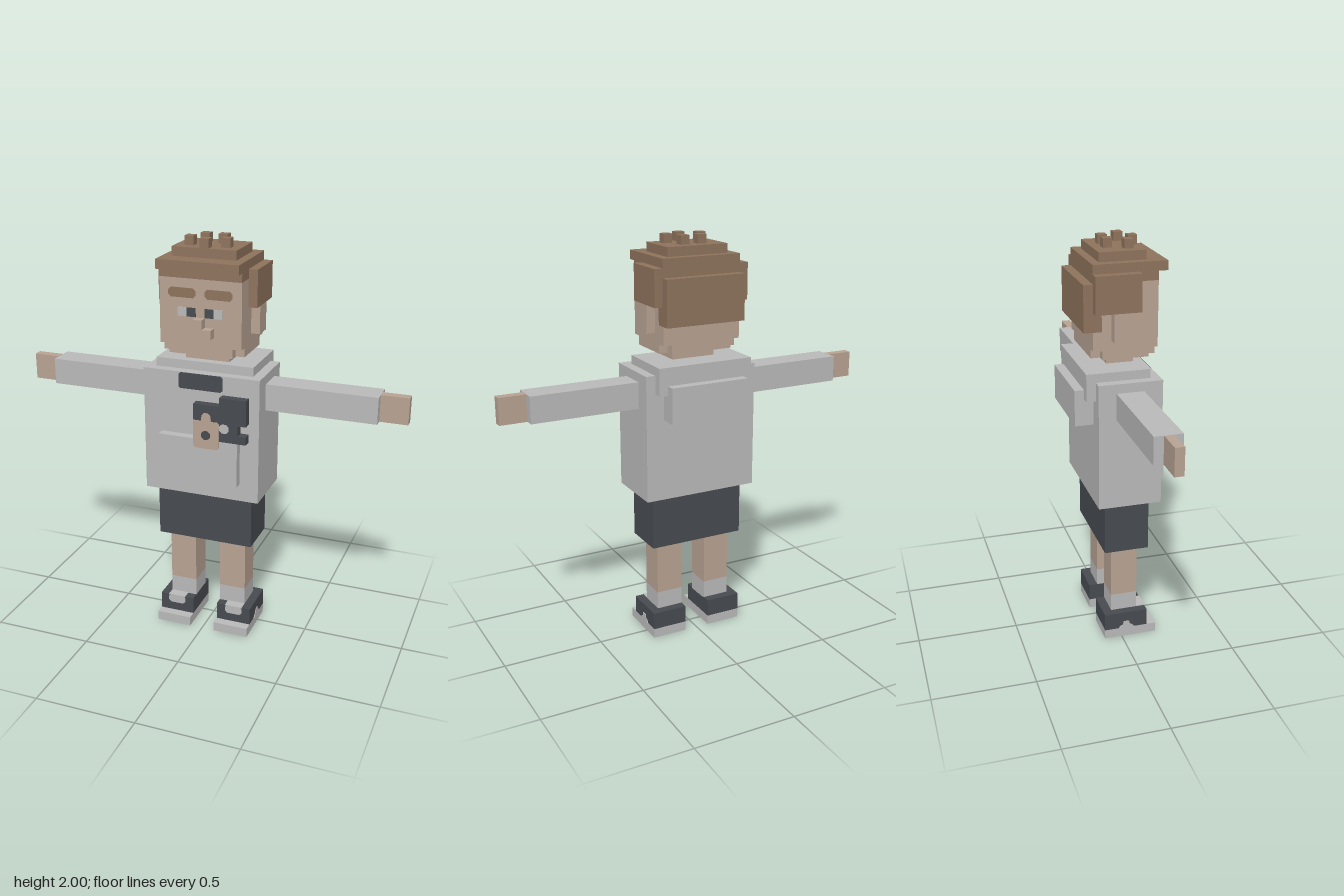
import * as THREE from 'three';

const mat = (name, color) => {
  const m = new THREE.MeshStandardMaterial({ color });
  m.name = name;
  return m;
};

export function createModel() {
  const skin = mat('skin', 0xb8a393);
  const grey = mat('light grey', 0xbababa);
  const dark = mat('charcoal', 0x474b50);
  const brown = mat('hair brown', 0x8e735c);
  const model = new THREE.Group();

  // Box given by its lower and upper corners
  const box = (name, m, x0, x1, y0, y1, z0, z1) => {
    const mesh = new THREE.Mesh(new THREE.BoxGeometry(x1 - x0, y1 - y0, z1 - z0), m);
    mesh.position.set((x0 + x1) / 2, (y0 + y1) / 2, (z0 + z1) / 2);
    mesh.name = name;
    model.add(mesh);
    return mesh;
  };
  // Outline in x/y, extruded forward from z
  const plate = (name, m, pts, z, depth = 0.005) => {
    const shape = new THREE.Shape(pts.map(([x, y]) => new THREE.Vector2(x, y)));
    const mesh = new THREE.Mesh(new THREE.ExtrudeGeometry(shape, { depth, bevelEnabled: false }), m);
    mesh.position.z = z;
    mesh.name = name;
    model.add(mesh);
    return mesh;
  };
  // Rectangle outline with clipped corners
  const clipped = (x0, x1, y0, y1, c) => [
    [x0 + c, y0], [x1 - c, y0], [x1, y0 + c], [x1, y1 - c],
    [x1 - c, y1], [x0 + c, y1], [x0, y1 - c], [x0, y0 + c]];

  // Top, collar and hood
  box('sweatshirt', grey, -0.29, 0.29, 0.76, 1.38, -0.13, 0.178);
  box('collar', grey, -0.243, 0.243, 1.29, 1.423, -0.175, 0.132);
  box('hood', grey, -0.2, 0.2, 1.16, 1.335, -0.22, -0.13);
  plate('neckline', dark, clipped(-0.11, 0.108, 1.3, 1.378, 0.008), 0.177);
  box('frontPocket', grey, -0.2, 0.197, 0.848, 1.07, 0.17, 0.22);

  // Chest emblem
  plate('emblemBack', dark, [
    [-0.022, 1.07], [0.24, 1.07], [0.24, 1.11], [0.2, 1.11], [0.2, 1.16], [0.24, 1.16],
    [0.24, 1.288], [0.108, 1.288], [0.108, 1.245], [-0.022, 1.245]], 0.175, 0.045);
  plate('emblemFront', skin, [
    [-0.012, 1.027], [0.098, 1.027], [0.108, 1.037], [0.108, 1.155], [0.098, 1.165],
    [0.068, 1.165], [0.064, 1.195], [0.053, 1.205], [0.033, 1.205], [0.022, 1.195],
    [0.018, 1.165], [-0.022, 1.165], [-0.022, 1.037]], 0.218, 0.006);
  plate('emblemDot', dark, clipped(0.02, 0.064, 1.073, 1.117, 0.013), 0.222);
  plate('emblemPatch', grey, clipped(0.109, 0.155, 1.115, 1.16, 0.012), 0.218, 0.004);

  // Shorts and neck
  box('shorts', dark, -0.243, 0.243, 0.493, 0.76, -0.088, 0.132);
  box('neck', skin, -0.11, 0.11, 1.38, 1.48, -0.044, 0.088);

  // Head with its four lower corners cut away
  box('head', skin, -0.2, 0.2, 1.514, 1.826, -0.13, 0.178);
  box('jaw', skin, -0.2, 0.2, 1.47, 1.515, -0.086, 0.134);
  for (const [z0, z1] of [[0.134, 0.178], [-0.13, -0.086]])
    box('jawEnd', skin, -0.156, 0.156, 1.47, 1.515, z0, z1);

  // Nose with its tip bent to the left
  plate('nose', skin, [[-0.022, 1.56], [0.066, 1.56], [0.066, 1.604],
    [0.022, 1.604], [0.022, 1.648], [-0.022, 1.648]], 0.175, 0.045);

  // Hair
  box('hairBand', brown, -0.2, 0.2, 1.826, 1.87, -0.13, 0.178);
  box('hairCap', brown, -0.2, 0.2, 1.868, 1.913, -0.13, 0.222);
  box('hairTop', brown, -0.156, 0.156, 1.91, 1.957, -0.09, 0.132);
  box('hairBack', brown, -0.203, 0.203, 1.605, 1.826, -0.175, -0.09);
  for (const [x, z] of [[-0.046, -0.024], [0.043, -0.024], [-0.09, 0.064], [0.088, 0.064], [0, 0.108]])
    box('hairTuft', brown, x - 0.022, x + 0.022, 1.955, 2, z - 0.022, z + 0.022);

  // Mirrored parts
  for (const s of [-1, 1]) {
    const side = s > 0 ? 'left' : 'right';
    const mbox = (name, m, x0, x1, ...r) =>
      box(side + name, m, Math.min(s * x0, s * x1), Math.max(s * x0, s * x1), ...r);
    const mclip = (x0, x1, y0, y1, c) =>
      clipped(Math.min(s * x0, s * x1), Math.max(s * x0, s * x1), y0, y1, c);

    // Face and side hair
    mbox('SideHair', brown, 0.195, 0.243, 1.694, 1.87, -0.13, 0.088);
    mbox('Ear', skin, 0.195, 0.243, 1.56, 1.694, -0.043, 0.045);
    mbox('EyeWhite', grey, 0.066, 0.11, 1.65, 1.692, 0.176, 0.182);
    mbox('Pupil', dark, 0.022, 0.066, 1.65, 1.692, 0.176, 0.182);
    plate(side + 'Eyebrow', brown, mclip(0.022, 0.156, 1.737, 1.782, 0.013), 0.177);

    // Arm
    mbox('Sleeve', grey, 0.28, 0.822, 1.206, 1.335, -0.045, 0.087);
    mbox('Hand', skin, 0.82, 0.955, 1.206, 1.335, 0, 0.044);

    // Leg and shoe
    mbox('Leg', skin, 0.065, 0.2, 0.224, 0.5, -0.044, 0.088);
    mbox('Sock', grey, 0.065, 0.2, 0.13, 0.224, -0.044, 0.088);
    mbox('Shoe', dark, 0.065, 0.243, 0.048, 0.135, -0.088, 0.132);
    mbox('Sole', grey, 0.065, 0.243, 0, 0.048, -0.088, 0.178);
    plate(side + 'Laces', grey, mclip(0.11, 0.2, 0.093, 0.136, 0.012), 0.13);
    mbox('Tongue', grey, 0.11, 0.2, 0.132, 0.138, 0.088, 0.134);

    // Arched patch on the outer side of the shoe
    const arch = plate(side + 'ShoeArch', grey, [[-0.042, 0.048], [0.042, 0.048], [0.03, 0.062],
      [0.018, 0.066], [0.014, 0.086], [-0.014, 0.086], [-0.018, 0.066], [-0.03, 0.062]], 0);
    arch.rotation.y = s * Math.PI / 2;
    arch.position.set(s * 0.241, 0, 0.024);
  }
  return model;
}
